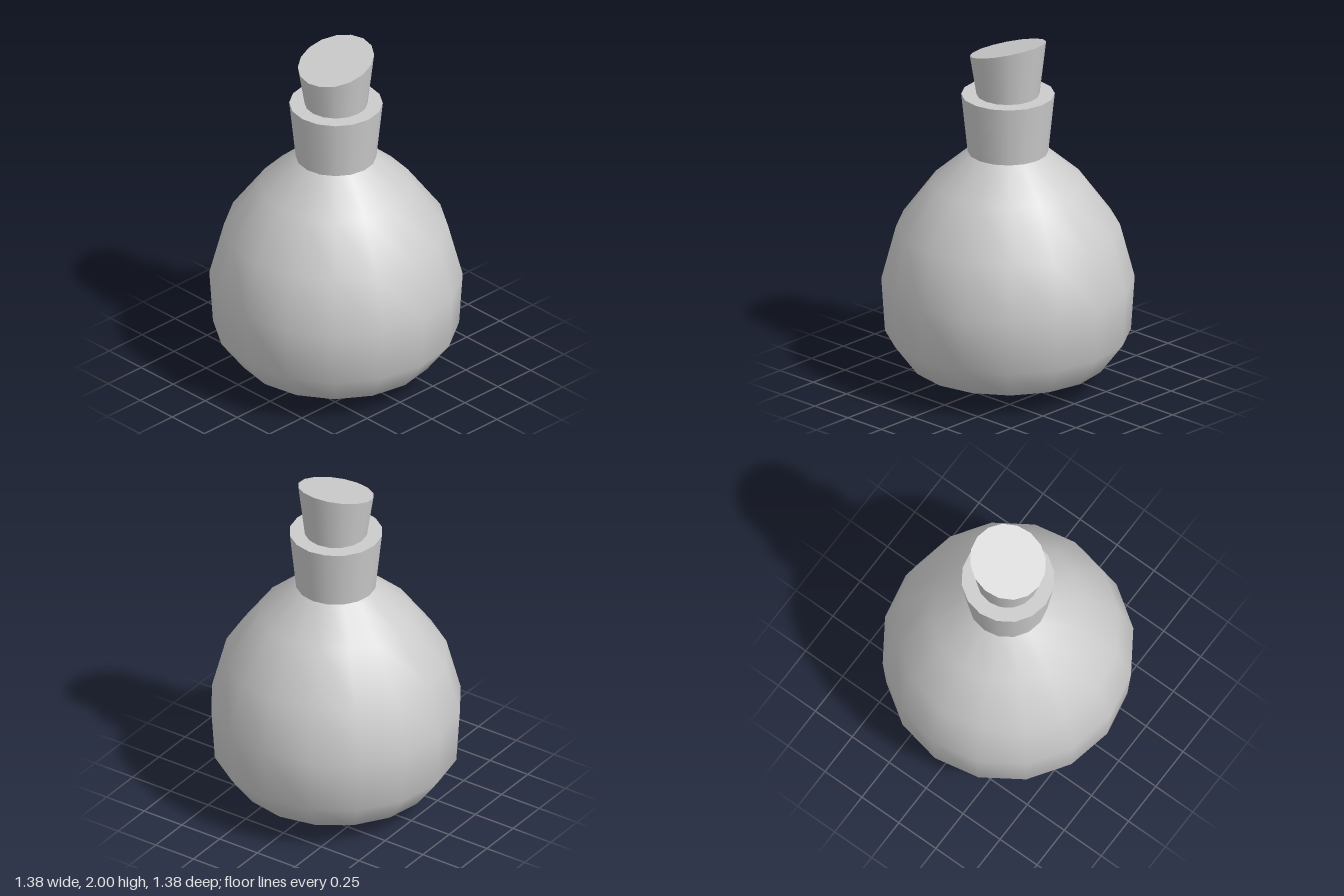
import * as THREE from 'three';

const SIDES = 16;
const material = new THREE.MeshStandardMaterial({ color: 0xcccccc });

function makePart(name, geometry, y = 0) {
  const mesh = new THREE.Mesh(geometry, material);
  mesh.name = name;
  mesh.position.y = y;
  return mesh;
}

// Stopper whose top is cut at a slant, rising towards +x
function slantedStopper(topRadius, bottomRadius, height, slope) {
  const geometry = new THREE.CylinderGeometry(topRadius, bottomRadius, height, SIDES);
  const position = geometry.attributes.position;
  const normal = geometry.attributes.normal;
  const capNormal = new THREE.Vector3(-slope, 1, 0).normalize();
  for (let i = 0; i < position.count; i++) {
    if (position.getY(i) <= 0) continue;
    position.setY(i, position.getY(i) + slope * position.getX(i));
    if (normal.getY(i) > 0.9) normal.setXYZ(i, ...capNormal.toArray());
  }
  return geometry;
}

export function createModel() {
  const model = new THREE.Group();
  model.name = 'flask';

  // Round body, slightly pointed underneath
  const profile = [
    [0, 0], [0.285, 0.04], [0.54, 0.125], [0.67, 0.3],
    [0.69, 0.605], [0.61, 0.91], [0.42, 1.17], [0.22, 1.345],
  ].map(([x, y]) => new THREE.Vector2(x, y));
  model.add(makePart('body', new THREE.LatheGeometry(profile, SIDES)));

  // Flared neck
  const neckHeight = 0.335;
  model.add(makePart('neck',
    new THREE.CylinderGeometry(0.255, 0.22, neckHeight, SIDES), 1.345 + neckHeight / 2));

  // Cork seated on the neck
  const corkHeight = 0.263;
  model.add(makePart('cork',
    slantedStopper(0.208, 0.172, corkHeight, 0.28), 1.68 + corkHeight / 2));

  return model;
}
